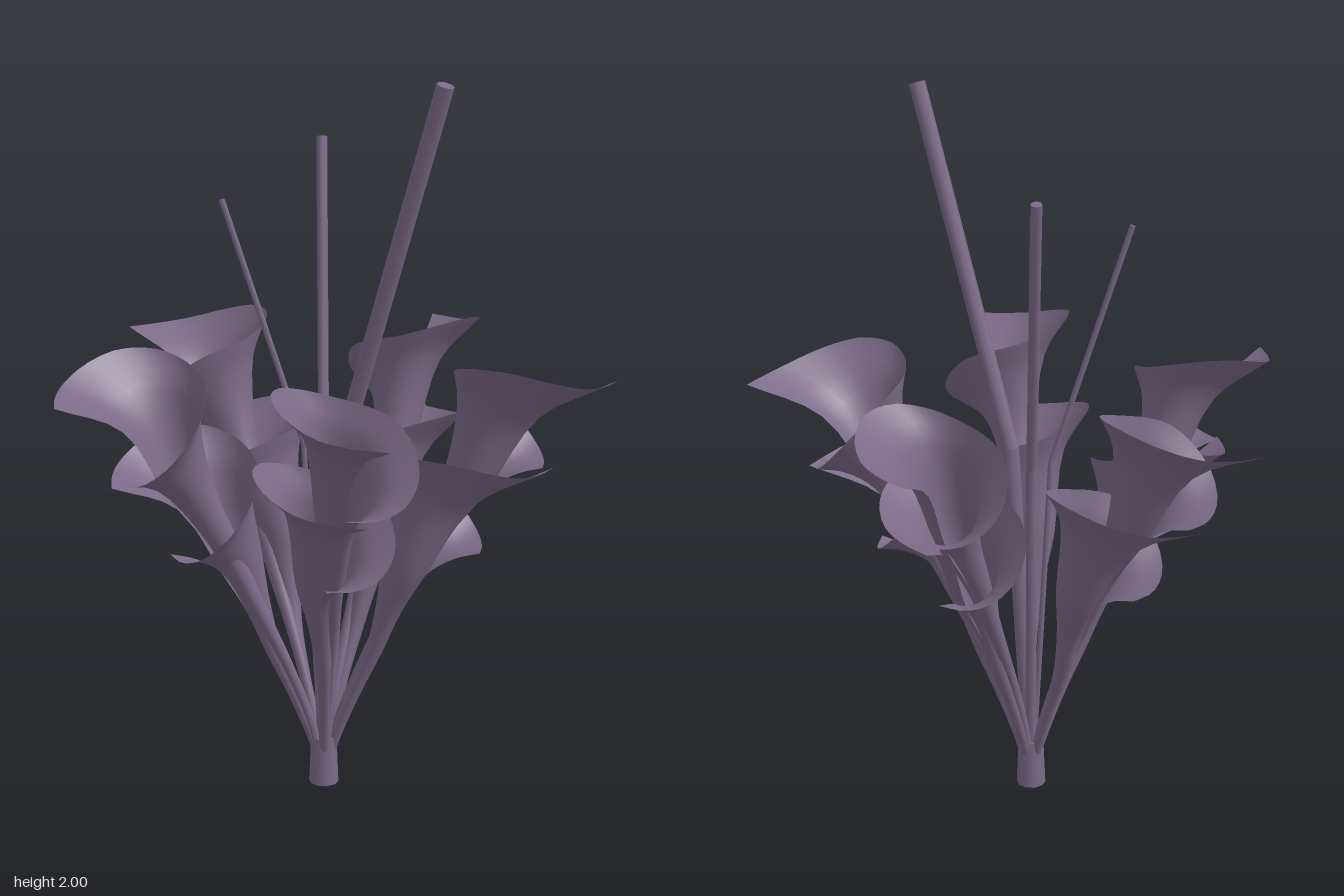
import * as THREE from 'three';

const V = (x, y, z) => new THREE.Vector3(x, y, z);

// Spiral rim of the flower, from the pointed tip round to the low lip: outward, height, sideways
const RIM = [
  [0.78, 1.2, 0], [0.745, 1.203, 0.08], [0.69, 1.215, 0.16], [0.6, 1.245, 0.22],
  [0.5, 1.27, 0.235], [0.41, 1.27, 0.2], [0.36, 1.25, 0.13], [0.35, 1.225, 0.05],
  [0.375, 1.2, -0.04], [0.41, 1.17, -0.1], [0.46, 1.115, -0.135], [0.52, 1.05, -0.135],
  [0.57, 0.995, -0.09], [0.592, 0.97, -0.02], [0.59, 0.97, 0.06],
];
// Stem and throat rings: outward, height, sideways, radius
const RINGS = [
  [0.015, 0.08, 0, 0.014], [0.045, 0.2, 0.003, 0.014], [0.115, 0.38, 0.01, 0.016],
  [0.2, 0.56, 0.02, 0.022], [0.285, 0.74, 0.032, 0.034], [0.385, 0.92, 0.045, 0.058],
];

// Trumpet flower skinned from the stem through the throat to the flared spiral rim
function flowerGeometry(inward, drop, side) {
  const cols = 36, rows = 28;
  const rim = new THREE.CatmullRomCurve3(RIM.map(([r, y, t]) => V(t + side, y - drop, -(r - inward))));
  const pos = [], index = [];
  for (let i = 0; i <= cols; i++) {
    const u = i / cols, a = u * Math.PI * 2;
    const pts = RINGS.map(([r, y, t, rad], k) => {
      const w = k / (RINGS.length - 1);
      const out = rad * Math.cos(a);
      // rings lean outward with the stem
      return V(t + side * w + rad * Math.sin(a), y - drop * w - 0.45 * w * out, -(r - inward * w * w + out));
    });
    // the wall climbs steeply first, then flares to the rim
    const throat = pts[pts.length - 1], edge = rim.getPoint(u);
    const flare = V(
      THREE.MathUtils.lerp(throat.x, edge.x, 0.33),
      THREE.MathUtils.lerp(throat.y, edge.y, 0.68),
      THREE.MathUtils.lerp(throat.z, edge.z, 0.33) - 0.025);
    pts.push(flare, edge);
    const line = new THREE.CatmullRomCurve3(pts, false, 'centripetal');
    for (let j = 0; j <= rows; j++) pos.push(...line.getPoint(j / rows).toArray());
  }
  const n = rows + 1;
  for (let i = 0; i < cols; i++) {
    for (let j = 0; j < rows; j++) {
      const p = i * n + j, q = p + n;
      index.push(p, q, p + 1, q, q + 1, p + 1);
    }
  }
  const g = new THREE.BufferGeometry();
  g.setAttribute('position', new THREE.Float32BufferAttribute(pos, 3));
  g.setIndex(index);
  g.computeVertexNormals();
  return g;
}

// Straight rod between two points
function rod(from, to, radius, material) {
  const dir = to.clone().sub(from);
  const mesh = new THREE.Mesh(new THREE.CylinderGeometry(radius, radius, dir.length(), 8), material);
  mesh.position.copy(from).add(to).multiplyScalar(0.5);
  mesh.quaternion.setFromUnitVectors(V(0, 1, 0), dir.normalize());
  return mesh;
}

export function createModel() {
  const model = new THREE.Group();
  model.name = 'flowerBouquet';
  const plum = new THREE.MeshStandardMaterial({ color: 0x7b6a88, side: THREE.DoubleSide });
  plum.name = 'dusty plum';

  const bouquet = new THREE.Group();
  bouquet.name = 'bouquet';
  bouquet.position.z = 0.06;
  model.add(bouquet);

  // Five pairs of flowers around the centre
  const upper = flowerGeometry(0, 0, 0);
  const lower = flowerGeometry(0.16, 0.24, 0.02);
  for (let k = 0; k < 5; k++) {
    const pair = new THREE.Group();
    pair.name = 'flowerPair' + (k + 1);
    pair.rotation.y = k * Math.PI * 2 / 5;
    for (const [name, g] of [['upperFlower', upper], ['lowerFlower', lower]]) {
      const flower = new THREE.Mesh(g, plum);
      flower.name = name;
      pair.add(flower);
    }
    bouquet.add(pair);
  }

  // Binding at the foot
  const foot = new THREE.Mesh(new THREE.CylinderGeometry(0.036, 0.042, 0.14, 10), plum);
  foot.name = 'foot';
  foot.position.y = 0.07;
  bouquet.add(foot);

  // Bare stalks, each bent near the middle
  const stalks = [
    ['thickStalk', 0.023, V(0, 0.08, 0), V(0, 1.02, 0.07), V(0, 1.993, 0.4)],
    ['mediumStalk', 0.015, V(0.005, 0.08, -0.005), V(0.045, 1.0, -0.045), V(0.212, 1.79, -0.208)],
    ['thinStalk', 0.008, V(-0.005, 0.08, -0.005), V(-0.03, 1.0, -0.05), V(-0.174, 1.663, -0.21)],
  ];
  for (const [name, radius, a, b, c] of stalks) {
    const stalk = new THREE.Group();
    stalk.name = name;
    const joint = new THREE.Mesh(new THREE.SphereGeometry(radius, 8, 6), plum);
    joint.position.copy(b);
    stalk.add(rod(a, b, radius, plum), rod(b, c, radius, plum), joint);
    bouquet.add(stalk);
  }
  return model;
}
